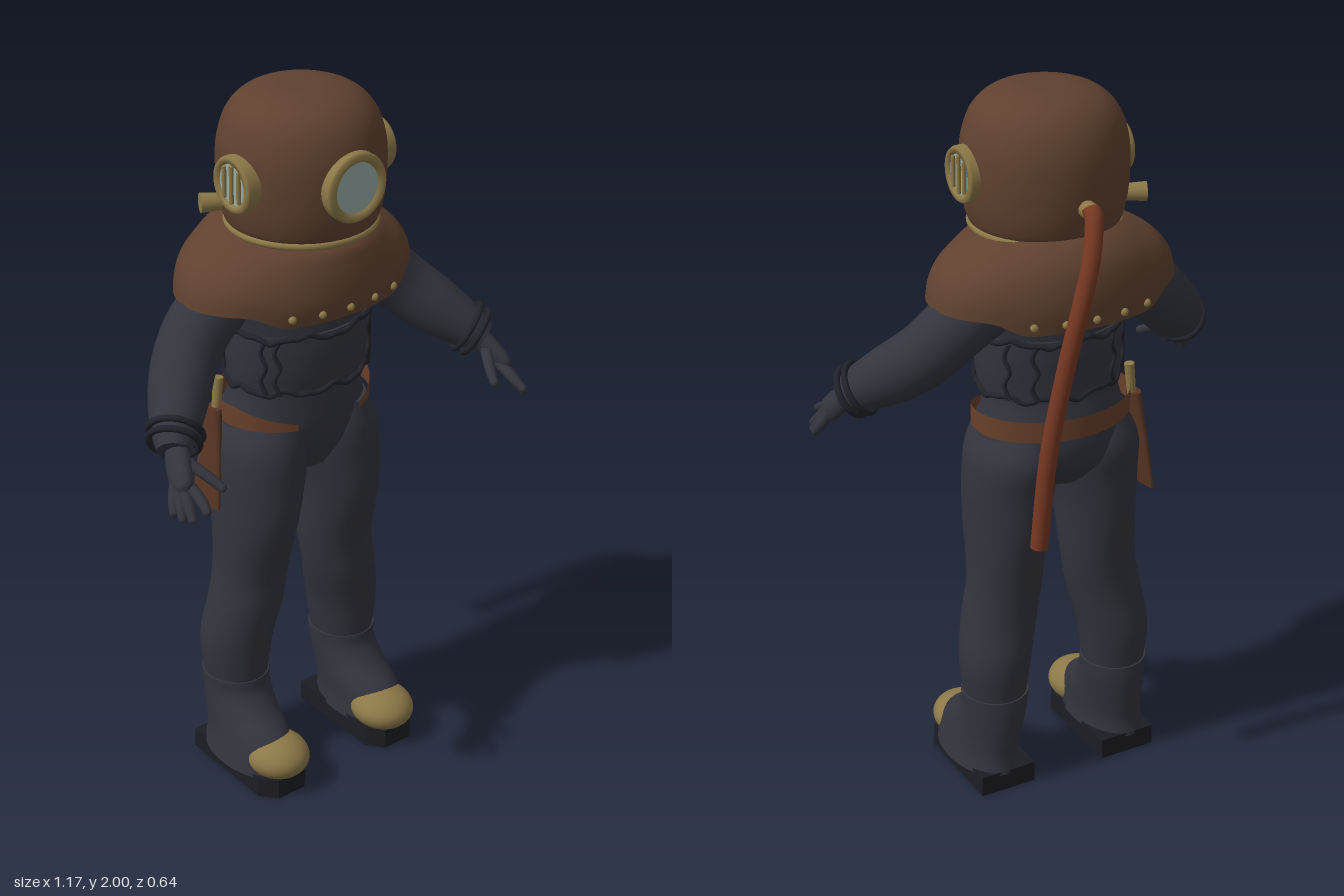
import * as THREE from 'three';

const paint = (name, color) => Object.assign(new THREE.MeshStandardMaterial({ color }), { name });
const M = {
  copper: paint('copper brown', 0x5f412f), suit: paint('suit navy', 0x33343d),
  brass: paint('aged brass', 0x8c7847), glass: paint('port glass', 0x97aca7),
  hose: paint('rubber hose red', 0x773822), belt: paint('leather belt', 0x68402a),
  sole: paint('sole black', 0x1c1d23), cord: paint('cord dark', 0x22232a),
  sheath: paint('sheath brown', 0x563523),
};
M.belt.side = THREE.DoubleSide;

function add(parent, name, geo, mat, pos = [0, 0, 0], rot = [0, 0, 0]) {
  const m = new THREE.Mesh(geo, mat);
  m.name = name;
  m.position.set(...pos);
  m.rotation.set(...rot);
  parent.add(m);
  return m;
}

// Smooth skin over sections [x, y, z, r1, r2]; rings lie flat, or square to the path if along
function loft(sections, { n = 32, sub = 5, along = false } = {}) {
  const V = (a, b, c) => new THREE.Vector3(a, b, c);
  const path = new THREE.CatmullRomCurve3(sections.map(s => V(s[0], s[1], s[2])), false, 'catmullrom');
  const radii = new THREE.CatmullRomCurve3(sections.map(s => V(s[3], s[4] ?? s[3], 0)), false, 'catmullrom');
  const count = (sections.length - 1) * sub, pos = [], idx = [];
  for (let i = 0; i <= count; i++) {
    const c = path.getPoint(i / count), r = radii.getPoint(i / count);
    const T = along ? path.getTangent(i / count) : V(0, 1, 0);
    const U = along ? V(0, 0, 1) : V(1, 0, 0);
    U.addScaledVector(T, -U.dot(T)).normalize();
    const W = U.clone().cross(T);
    for (let j = 0; j < n; j++) {
      const a = j / n * Math.PI * 2;
      const p = c.clone().addScaledVector(U, Math.cos(a) * r.x).addScaledVector(W, Math.sin(a) * r.y);
      pos.push(p.x, p.y, p.z);
      if (i < count) {
        const k = (j + 1) % n, A = i * n + j, B = i * n + k;
        idx.push(A, A + n, B, B, A + n, B + n);
      }
    }
  }
  // end caps have their own rim so that the edge stays crisp
  for (const [row, flip] of [[0, false], [count, true]]) {
    const base = pos.length / 3, c = path.getPoint(row / count);
    for (let j = 0; j < n; j++) pos.push(...pos.slice((row * n + j) * 3, (row * n + j) * 3 + 3));
    pos.push(c.x, c.y, c.z);
    for (let j = 0; j < n; j++) {
      const a = base + j, b = base + (j + 1) % n;
      idx.push(base + n, ...(flip ? [b, a] : [a, b]));
    }
  }
  const g = new THREE.BufferGeometry();
  g.setAttribute('position', new THREE.Float32BufferAttribute(pos, 3));
  g.setIndex(idx);
  g.computeVertexNormals();
  return g;
}

function bend(g, rule) {
  const p = g.attributes.position;
  for (let i = 0; i < p.count; i++) p.setXYZ(i, ...rule(p.getX(i), p.getY(i), p.getZ(i)));
  g.computeVertexNormals();
  return g;
}

const tube = (pts, r, closed = false, seg = 60) => new THREE.TubeGeometry(
  new THREE.CatmullRomCurve3(pts.map(p => new THREE.Vector3(...p)), closed), seg, r, 12, closed);

// Round window facing +z of its own group
function port(parent, name, r, pos, rotY, bars) {
  const g = new THREE.Group();
  g.name = name;
  g.position.set(...pos);
  g.rotation.y = rotY;
  const rim = [[r, -0.06], [r, 0], [r * 0.94, 0.008], [r * 0.76, 0.008], [r * 0.69, -0.008]];
  add(g, 'portRim', new THREE.LatheGeometry(rim.map(p => new THREE.Vector2(...p)), 40), M.brass, [0, 0, 0], [Math.PI / 2, 0, 0]);
  add(g, 'portGlass', new THREE.CylinderGeometry(r * 0.72, r * 0.72, 0.008, 32), M.glass, [0, 0, -0.004], [Math.PI / 2, 0, 0]);
  for (let i = 0; i < bars; i++) {
    const x = (i - (bars - 1) / 2) * r * 0.4;
    add(g, 'portBar', new THREE.CylinderGeometry(0.006, 0.006, 1.9 * Math.sqrt(r * r * 0.5 - x * x), 8), M.brass, [x, 0, 0.004]);
  }
  parent.add(g);
}

function buildHelmet(root) {
  const profile = [[0.188, 1.63], [0.204, 1.66], [0.216, 1.72], [0.22, 1.8], [0.214, 1.87], [0.19, 1.935], [0.145, 1.978], [0.08, 1.998], [0, 2]];
  const pts = new THREE.SplineCurve(profile.map(p => new THREE.Vector2(...p))).getPoints(40);
  pts[pts.length - 1].x = 0;
  add(root, 'helmet', new THREE.LatheGeometry(pts, 48), M.copper, [0, 0, 0.01]);
  add(root, 'neckRing', new THREE.TorusGeometry(0.193, 0.011, 10, 48), M.brass, [0, 1.637, 0.01], [Math.PI / 2, 0, 0]);
  port(root, 'frontPort', 0.093, [0, 1.79, 0.235], 0, 0);
  for (const s of [-1, 1]) port(root, 'sidePort', 0.075, [s * 0.232, 1.79, 0.03], s * Math.PI / 2, 3);
  add(root, 'hoseFitting', new THREE.CylinderGeometry(0.023, 0.023, 0.06, 20), M.brass, [0, 1.735, -0.215], [Math.PI / 2, 0, 0]);
  const valve = add(root, 'exhaustValve', new THREE.CylinderGeometry(0.026, 0.022, 0.06, 16), M.brass, [-0.215, 1.7, -0.085]);
  valve.quaternion.setFromUnitVectors(new THREE.Vector3(0, 1, 0), new THREE.Vector3(-0.91, 0, -0.41));
  const hose = [[0, 1.74, -0.23], [0.005, 1.72, -0.255], [0.03, 1.63, -0.285], [0.06, 1.52, -0.292], [0.1, 1.35, -0.285], [0.14, 1.1, -0.265], [0.16, 0.83, -0.25]];
  add(root, 'airHose', loft(hose.map(p => [...p, 0.024]), { n: 16, sub: 8, along: true }), M.hose);
}

function buildCollar(root) {
  const g = loft([[0, 1.43, -0.025, 0.347, 0.236], [0, 1.48, -0.025, 0.338, 0.242], [0, 1.53, -0.025, 0.315, 0.238],
    [0, 1.58, -0.022, 0.272, 0.225], [0, 1.62, -0.012, 0.22, 0.2], [0, 1.645, -0.01, 0.16, 0.16]], { n: 64 });
  // lift the hem over the arms and the neck towards the back
  add(root, 'collar', bend(g, (x, y, z) => {
    const low = (1.645 - y) / 0.215;
    return [x, y + 0.037 * low * THREE.MathUtils.smoothstep(Math.abs(x), 0.17, 0.27) - 0.1 * z * (1 - low), z];
  }), M.copper);
  for (const side of [-1, 1]) for (const x of [-0.165, -0.085, 0, 0.085, 0.165]) {
    const z = -0.025 + side * 0.24 * Math.sqrt(1 - (x / 0.345) ** 2);
    add(root, 'rivet', new THREE.SphereGeometry(0.011, 12, 8), M.brass, [x, 1.455, z]);
  }
}

function buildTorso(root) {
  add(root, 'torso', loft([[0, 0.93, -0.03, 0.09, 0.11], [0, 1.0, -0.035, 0.2, 0.15], [0, 1.07, -0.032, 0.215, 0.163], [0, 1.14, -0.022, 0.195, 0.156],
    [0, 1.2, -0.015, 0.188, 0.15], [0, 1.3, -0.01, 0.197, 0.156], [0, 1.4, -0.012, 0.21, 0.155], [0, 1.48, -0.025, 0.24, 0.15]]), M.suit);
  add(root, 'vest', loft([[0, 1.19, -0.014, 0.196, 0.158], [0, 1.25, -0.01, 0.204, 0.163], [0, 1.31, -0.01, 0.207, 0.166], [0, 1.365, -0.01, 0.207, 0.163]]), M.suit);
  // wrinkled hems and lacing of the vest
  for (const [y, r, k] of [[1.36, 0.208, 7], [1.2, 0.2, 9]]) {
    const pts = [];
    for (let i = 0; i < 48; i++) {
      const a = i / 48 * Math.PI * 2;
      pts.push([Math.cos(a) * r, y + 0.007 * Math.sin(a * k) + 0.004 * Math.sin(a * 17), -0.01 + Math.sin(a) * (r - 0.042)]);
    }
    add(root, 'vestHem', tube(pts, 0.008, true, 160), M.cord);
  }
  for (const a of [0.55, 0.75, 2.39, 2.59, 3.7, 4.1, 5.3, 5.7]) {
    const pts = [0, 1, 2, 3, 4].map(i => {
      const b = a + 0.04 * (i % 2 ? 1 : -1);
      return [Math.cos(b) * 0.207, 1.2 + i * 0.04, -0.01 + Math.sin(b) * 0.166];
    });
    add(root, 'vestLace', tube(pts, 0.006, false, 24), M.cord);
  }
  // belt open at the front, with tapered ends
  add(root, 'belt', bend(new THREE.PlaneGeometry(1, 1, 64, 2), (x, y) => {
    const u = x + 0.5, end = Math.min(1, Math.min(u, 1 - u) * 6), a = 0.47 + u * (Math.PI * 2 - 0.94);
    return [Math.sin(a) * 0.225, 1.098 + 0.022 * end + y * (0.018 + 0.042 * end), -0.025 + Math.cos(a) * 0.172];
  }), M.belt);
  // knife on the right hip
  add(root, 'knifeSheath', loft([[-0.262, 0.84, -0.07, 0.014, 0.06], [-0.247, 0.97, -0.07, 0.017, 0.048], [-0.23, 1.12, -0.07, 0.018, 0.026]], { n: 20 }), M.sheath);
  add(root, 'knifeHandle', new THREE.CylinderGeometry(0.014, 0.012, 0.1, 12), M.brass, [-0.22, 1.155, -0.07], [0, 0, -0.1]);
}

function buildArm(root, s) {
  const flip = list => list.map(p => [p[0] * s, ...p.slice(1)]);
  const limb = (name, list, n = 24) => add(root, name, loft(flip(list), { n, along: true }), M.suit);
  limb('sleeve', [[0.19, 1.45, -0.04, 0.08], [0.28, 1.41, -0.037, 0.088], [0.36, 1.335, -0.008, 0.086], [0.43, 1.268, 0.055, 0.08],
    [0.488, 1.215, 0.12, 0.062], [0.518, 1.185, 0.157, 0.044]]);
  const axis = new THREE.Vector3(s * 0.62, -0.5, 0.6).normalize();
  for (const [k, r] of [[-0.014, 0.07], [0.014, 0.066]]) {
    const cuff = add(root, 'cuff', new THREE.TorusGeometry(r, 0.009, 8, 32), M.cord, [s * (0.497 + k * 0.62), 1.207 - k * 0.5, 0.13 + k * 0.6]);
    cuff.quaternion.setFromUnitVectors(new THREE.Vector3(0, 0, 1), axis);
  }
  limb('palm', [[0.5, 1.195, 0.145, 0.034, 0.03], [0.525, 1.155, 0.185, 0.038, 0.027], [0.54, 1.12, 0.22, 0.036, 0.022], [0.545, 1.108, 0.232, 0.02, 0.012]], 16);
  const fingers = {
    thumb: [[0.508, 1.17, 0.175], [0.475, 1.135, 0.235], [0.457, 1.112, 0.275]],
    indexFinger: [[0.525, 1.13, 0.21], [0.525, 1.104, 0.275], [0.53, 1.085, 0.31]],
    middleFinger: [[0.535, 1.13, 0.21], [0.548, 1.088, 0.255], [0.556, 1.06, 0.285]],
    ringFinger: [[0.54, 1.13, 0.205], [0.557, 1.085, 0.235], [0.568, 1.055, 0.258]],
    littleFinger: [[0.54, 1.135, 0.195], [0.562, 1.09, 0.212], [0.575, 1.062, 0.23]],
  };
  for (const [name, [a, b, c]] of Object.entries(fingers)) {
    limb(name, [[...a, 0.016], [...b, 0.015], [...c, 0.012]], 10);
    add(root, name + 'Tip', new THREE.SphereGeometry(0.012, 10, 8), M.suit, flip([c])[0]);
  }
}

function buildLeg(root, s) {
  const flip = list => list.map(p => [p[0] * s, ...p.slice(1)]);
  add(root, 'trouserLeg', loft(flip([[0.19, 0.27, -0.045, 0.085, 0.092], [0.187, 0.4, -0.045, 0.1, 0.104], [0.165, 0.52, -0.03, 0.105, 0.104],
    [0.147, 0.63, -0.028, 0.104, 0.108], [0.138, 0.8, -0.017, 0.108, 0.143], [0.128, 0.92, -0.02, 0.119, 0.152],
    [0.12, 1.02, -0.028, 0.118, 0.16], [0.11, 1.1, -0.022, 0.09, 0.135]])), M.suit);
  add(root, 'boot', loft(flip([[0.203, 0.05, 0.035, 0.098, 0.168], [0.2, 0.1, 0.035, 0.092, 0.163], [0.196, 0.15, 0.015, 0.089, 0.15],
    [0.193, 0.2, -0.02, 0.088, 0.122], [0.19, 0.25, -0.042, 0.09, 0.103], [0.19, 0.292, -0.046, 0.093, 0.098]])), M.suit);
  // thick sole with clipped toe corners
  const sole = new THREE.Shape([[-0.083, 0.13], [0.083, 0.13], [0.083, -0.17], [0.045, -0.215], [-0.045, -0.215], [-0.083, -0.17]]
    .map(p => new THREE.Vector2(...p)));
  add(root, 'sole', new THREE.ExtrudeGeometry(sole, { depth: 0.06, bevelEnabled: false }), M.sole, [s * 0.193, 0, 0], [-Math.PI / 2, 0, 0]);
  add(root, 'toeCap', new THREE.SphereGeometry(1, 32, 20), M.brass, [s * 0.19, 0.095, 0.145]).scale.set(0.088, 0.06, 0.096);
}

export function createModel() {
  const root = new THREE.Group();
  root.name = 'deepSeaDiver';
  buildHelmet(root);
  buildCollar(root);
  buildTorso(root);
  for (const s of [-1, 1]) {
    buildArm(root, s);
    buildLeg(root, s);
  }
  return root;
}
